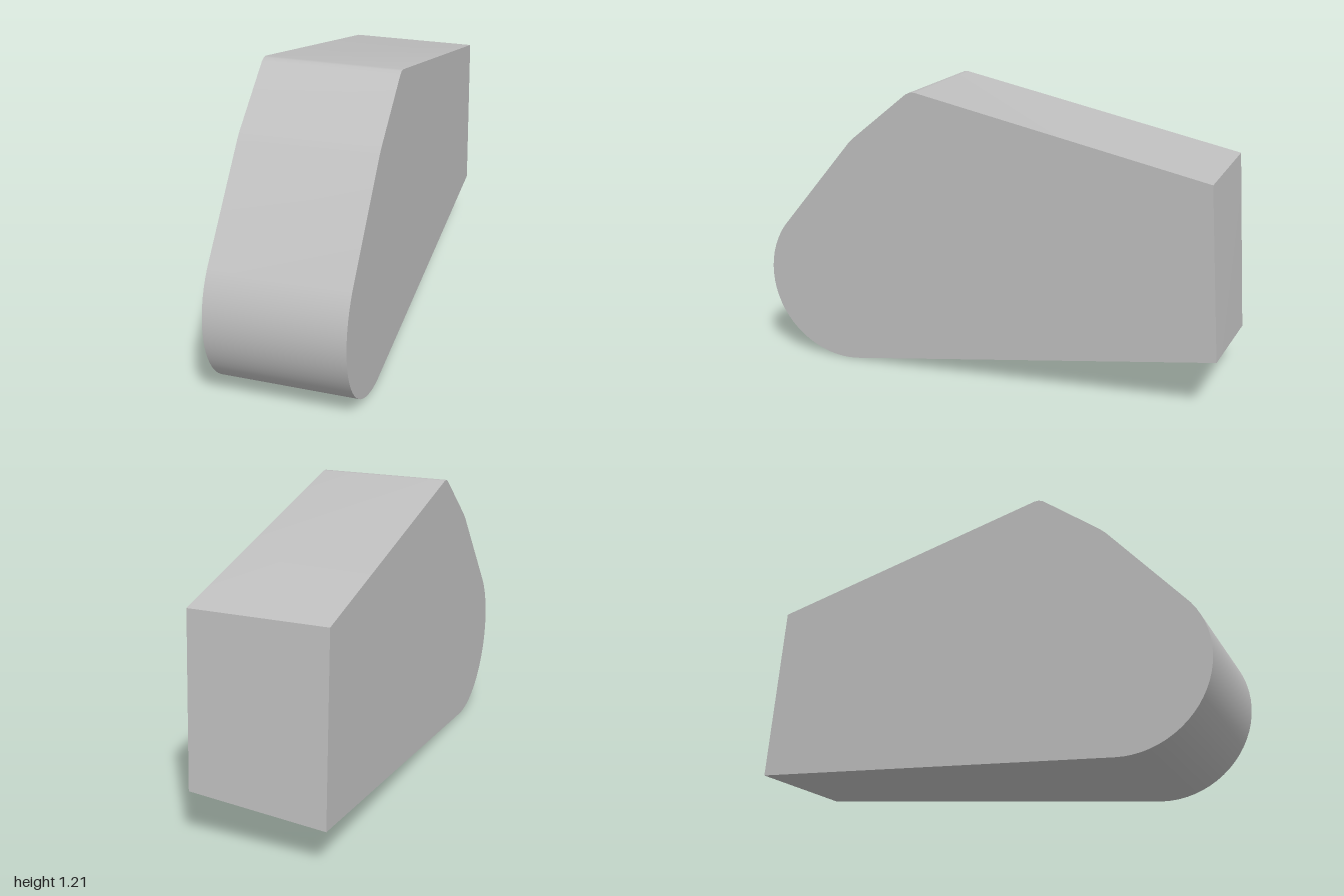
import * as THREE from 'three';
import { toCreasedNormals } from 'three/addons/utils/BufferGeometryUtils.js';

export function createModel() {
  const group = new THREE.Group();
  const grey = new THREE.MeshStandardMaterial({ color: 0xbfbfbf });
  grey.name = 'grey';

  // Side profile as [z, y]: back edge, sloped top, front slope, then a rounded nose
  const outline = [
    [-1, 0.175], [-0.95, 0.945], [0.285, 1.213], [0.305, 1.213], [0.325, 1.204], [0.575, 1.0], [0.6, 0.975],
  ];
  const steps = 24, radius = 0.365;
  for (let i = 0; i <= steps; i++) {
    const a = THREE.MathUtils.degToRad(36 - (132 * i) / steps);
    outline.push([0.635 + radius * Math.cos(a), 0.365 + radius * Math.sin(a)]);
  }
  const shape = new THREE.Shape(outline.map(([z, y]) => new THREE.Vector2(-z, y)));

  // Extrude across the width
  const width = 0.568;
  const solid = new THREE.ExtrudeGeometry(shape, { depth: width, bevelEnabled: false });
  solid.translate(0, 0, -width / 2);
  solid.rotateY(Math.PI / 2);

  // The lower back edge rises towards the left side
  const p = solid.attributes.position;
  for (let i = 0; i < p.count; i++) {
    if (p.getZ(i) < -0.99 && p.getX(i) > 0) p.setY(i, 0.23);
  }
  solid.deleteAttribute('normal');
  solid.deleteAttribute('uv');

  const body = new THREE.Mesh(toCreasedNormals(solid, 0.7), grey);
  body.name = 'wedgeBody';
  group.add(body);
  return group;
}
